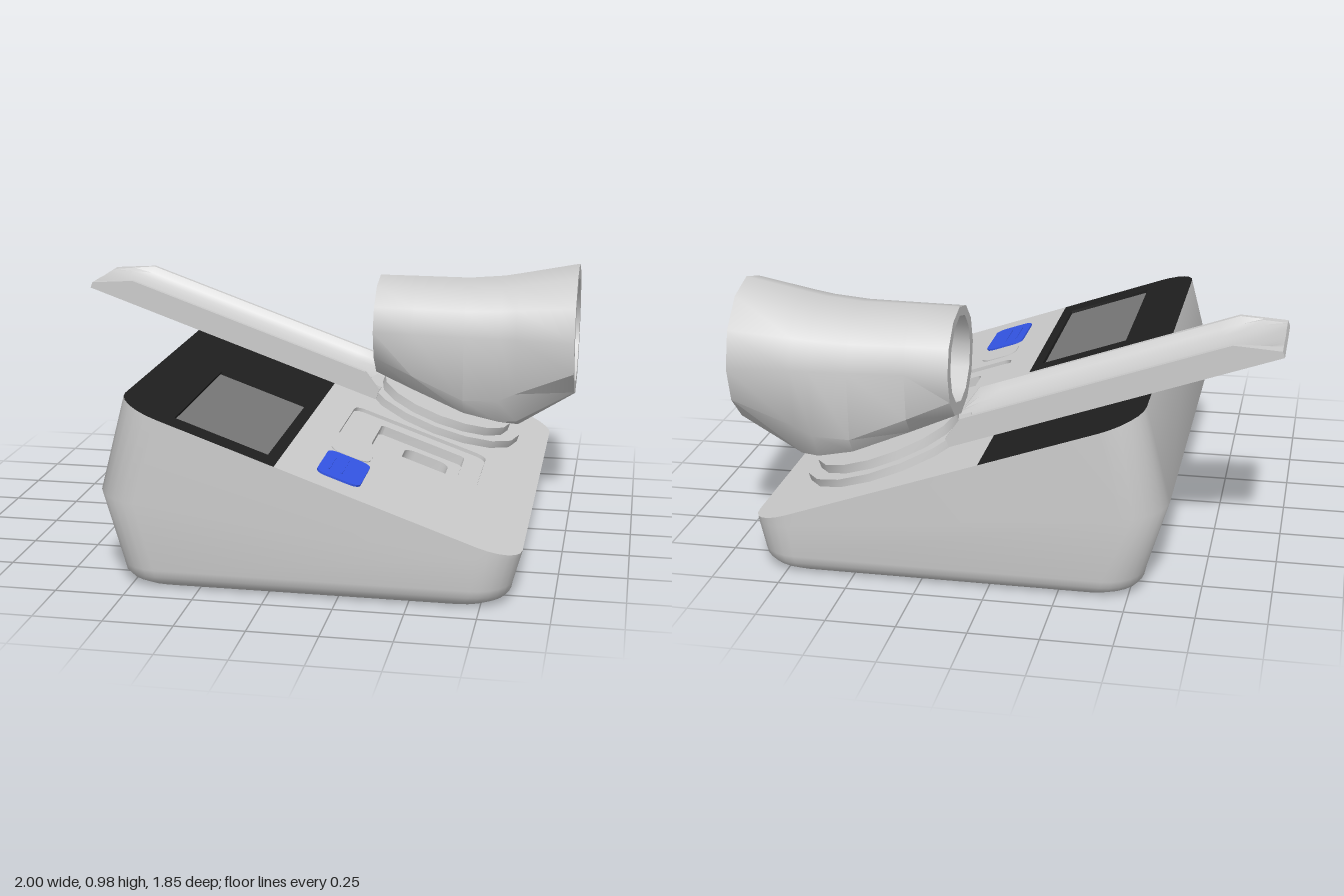
import * as THREE from 'three';
import { toCreasedNormals } from 'three/addons/utils/BufferGeometryUtils.js';

const TILT = Math.atan(0.351), COS = Math.cos(TILT), DECK_Y = 0.4905;
const deckY = (x) => DECK_Y - 0.351 * x;

const material = (color) => new THREE.MeshStandardMaterial({ color, side: THREE.DoubleSide });
const grey = material(0xcccccc), black = material(0x1f1f1f);
const screenGrey = material(0x777777), blue = material(0x3355e5);

function add(parent, name, geometry, mat = grey) {
  const mesh = new THREE.Mesh(geometry, mat);
  mesh.name = name;
  parent.add(mesh);
  return mesh;
}

// Rounded rectangle outline as [x, z] points, with separate left and right corner radii
function roundRect(x0, x1, z0, z1, rl, rr = rl, n = 6) {
  const pts = [];
  const corners = [[x1 - rr, z0 + rr, rr], [x0 + rl, z0 + rl, rl], [x0 + rl, z1 - rl, rl], [x1 - rr, z1 - rr, rr]];
  corners.forEach(([cx, cz, r], k) => {
    for (let i = 0; i <= (r ? n : 0); i++) {
      const a = (k + i / n) * Math.PI / 2;
      pts.push([cx + r * Math.cos(a), cz - r * Math.sin(a)]);
    }
  });
  return pts;
}

// Skin joining rings of [x, y, z] points, with optional flat caps
function loft(rings, capStart, capEnd, crease = 0.6) {
  const n = rings[0].length, pos = rings.flat(2), idx = [];
  for (let k = 0; k < rings.length - 1; k++) {
    for (let i = 0; i < n; i++) {
      const a = k * n + i, b = k * n + (i + 1) % n;
      idx.push(a, b, b + n, a, b + n, a + n);
    }
  }
  const last = (rings.length - 1) * n;
  for (let i = 1; i < n - 1; i++) {
    if (capStart) idx.push(0, i + 1, i);
    if (capEnd) idx.push(last, last + i, last + i + 1);
  }
  const g = new THREE.BufferGeometry();
  g.setAttribute('position', new THREE.Float32BufferAttribute(pos, 3));
  g.setIndex(idx);
  return toCreasedNormals(g, crease);
}

// Outlines are given in plan and stretched to lie on the sloping deck
const onDeck = (pts) => pts.map(([x, z]) => new THREE.Vector2(x / COS, -z));
const ringAt = (pts, y) => pts.map(([x, z]) => [x / COS, y, z]);

function plate(outline, holes = [], height = 0) {
  const shape = new THREE.Shape(onDeck(outline));
  holes.forEach((h) => shape.holes.push(new THREE.Path(onDeck(h))));
  const g = height ? new THREE.ExtrudeGeometry(shape, { depth: height, bevelEnabled: false })
    : new THREE.ShapeGeometry(shape);
  g.rotateX(-Math.PI / 2);
  return height ? toCreasedNormals(g, 0.6) : g;
}

// Housing: rounded foot, bulging back wall, sloping open top
function housing() {
  const rings = [];
  for (let k = 0; k <= 4; k++) {
    const a = k * Math.PI / 8, inset = 0.07 * (1 - Math.sin(a)), y = 0.07 * (1 - Math.cos(a));
    rings.push(roundRect(-0.55 + inset, 0.855 - inset, -0.925 + inset, 0.925 - inset, 0.14)
      .map(([x, z]) => [x, y, z]));
  }
  rings.push(roundRect(-0.63, 0.883, -0.925, 0.925, 0.15).map(([x, z]) => [x, 0.264 - 0.105 * x, z]));
  rings.push(roundRect(-0.54, 0.885, -0.925, 0.925, 0.15).map(([x, z]) => [x, deckY(x), z]));
  return loft(rings, true, false);
}

// Arm rest channel, its walls tapering down at both ends
function armTrough() {
  const length = 1.272, top = 0.092;
  const s = new THREE.Shape();
  s.moveTo(-0.18, 0);
  s.lineTo(0.18, 0);
  s.lineTo(0.18, top);
  s.lineTo(0.16, top);
  s.bezierCurveTo(0.14, 0.03, 0.08, 0.022, 0, 0.022);
  s.bezierCurveTo(-0.08, 0.022, -0.14, 0.03, -0.16, top);
  s.lineTo(-0.18, top);
  const g = new THREE.ExtrudeGeometry(s, { depth: length, steps: 16, bevelEnabled: false, curveSegments: 6 });
  g.rotateY(Math.PI / 2);
  const p = g.attributes.position;
  for (let i = 0; i < p.count; i++) {
    const u = p.getX(i);
    const limit = Math.min(0.024 + u * 0.43, 0.035 + (length - u) * 0.72);
    p.setY(i, Math.min(p.getY(i), limit));
  }
  return toCreasedNormals(g, 0.5);
}

// Hollow cuff: flared tube whose underside drops to the round base
function cuff() {
  const sides = 12;
  const ring = (x, cy, up, down, rz, e) => Array.from({ length: sides }, (_, i) => {
    const a = i * 2 * Math.PI / sides, c = Math.cos(a), s = Math.sin(a);
    const q = s < -1e-6 ? e : 1;
    const bend = (v) => Math.abs(v) < 1e-6 ? 0 : Math.sign(v) * Math.abs(v) ** q;
    return [x, cy + bend(s) * (s > 0 ? up : down), -0.465 - rz * bend(c)];
  });
  // x, top, bottom, half width, squareness of the lower half
  const outer = [
    [0.19, 0.905, 0.49, 0.212, 1],
    [0.35, 0.905, 0.437, 0.22, 0.6],
    [0.56, 0.905, 0.362, 0.235, 0.38],
    [0.7, 0.918, 0.312, 0.242, 0.6],
    [0.77, 0.931, 0.295, 0.246, 0.85],
    [1, 0.977, 0.44, 0.27, 1],
  ].map(([x, top, bottom, rz, e]) => ring(x, 0.705, top - 0.705, 0.705 - bottom, rz, e));
  const inner = [[1, 0.215], [0.62, 0.18], [0.19, 0.165]].map(([x, r]) => ring(x, 0.705, r, r, r, 1));
  return loft([...outer, ...inner, outer[0]], false, false);
}

export function createModel() {
  const model = new THREE.Group();
  model.name = 'bloodPressureMonitor';
  add(model, 'housing', housing());

  const deck = new THREE.Group();
  deck.name = 'slopingDeck';
  deck.position.y = DECK_Y;
  deck.rotation.z = -TILT;
  model.add(deck);

  // Deck faces with openings for the socket and the screen
  const socketRim = roundRect(0.15, 0.675, -0.1, 0.325, 0.04);
  const screenRim = roundRect(-0.345, -0.01, 0.13, 0.83, 0.004);
  add(deck, 'deckFace', plate(roundRect(0.03, 0.885, -0.925, 0.925, 0, 0.15), [socketRim]));
  add(deck, 'displayBand', plate(roundRect(-0.54, 0.03, -0.925, 0.925, 0.15, 0), [screenRim]), black);
  add(deck, 'screenSurround', loft([ringAt(screenRim, 0), ringAt(screenRim, -0.012)]), black);
  add(deck, 'screen', plate(screenRim), screenGrey).position.y = -0.012;

  // Stepped socket sinking into the deck
  const middle = roundRect(0.27, 0.6, -0.03, 0.25, 0.02);
  const centre = roundRect(0.385, 0.555, 0.02, 0.21, 0.04);
  add(deck, 'socket', loft([
    ringAt(socketRim, 0), ringAt(socketRim, -0.014),
    ringAt(middle, -0.014), ringAt(middle, -0.05),
    ringAt(centre, -0.05), ringAt(centre, -0.095),
  ], false, true));

  // Buttons
  add(deck, 'smallButton', plate(roundRect(0.155, 0.3, 0.385, 0.525, 0.045), [], 0.004));
  add(deck, 'startButton', plate(roundRect(0.155, 0.31, 0.54, 0.81, 0.035), [], 0.007), blue);
  for (const x of [0.19, 0.235]) {
    add(deck, 'buttonRidge', plate(roundRect(x - 0.003, x + 0.003, 0.6, 0.75, 0.002), [], 0.01), blue);
  }

  // Round stepped base below the cuff
  [[0.33, 0, 0.03], [0.278, 0.03, 0.064]].forEach(([r, y0, y1]) => {
    const disc = new THREE.CylinderGeometry(r, r, y1 - y0, 16);
    disc.translate(0.455 / COS, (y0 + y1) / 2, -0.465);
    add(deck, 'cuffBase', toCreasedNormals(disc, 0.6));
  });

  add(deck, 'armTrough', armTrough()).position.set(-1 / COS, 0.001, -0.46);
  add(model, 'cuff', cuff());
  return model;
}
